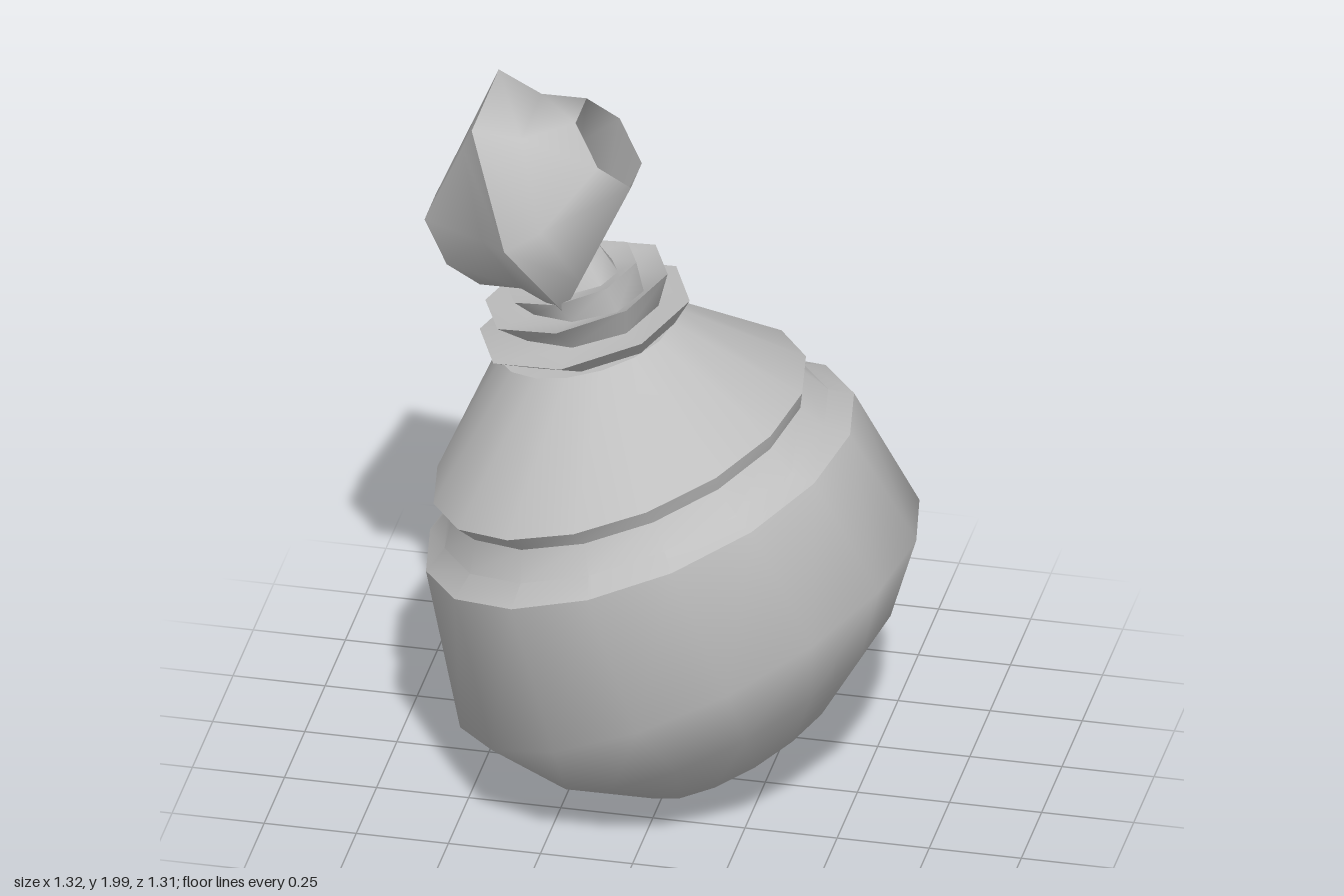
import * as THREE from 'three';
import { toCreasedNormals } from 'three/addons/utils/BufferGeometryUtils.js';

// Loft through tilted rings. Each ring is [x1, y1, x2, y2, depth]:
// its two end points in the plane z = 0 and its half depth along z.
function loft(rings, sides, crease, phase = 0, stretch = 1) {
  const positions = [];
  const index = [];
  for (const [x1, y1, x2, y2, depth] of rings) {
    for (let j = 0; j < sides; j++) {
      const t = phase + (j / sides) * Math.PI * 2;
      const c = (Math.cos(t) * stretch) / 2;
      positions.push(
        (x1 + x2) / 2 + (x2 - x1) * c,
        (y1 + y2) / 2 + (y2 - y1) * c,
        depth * Math.sin(t)
      );
    }
  }
  for (let i = 0; i < rings.length - 1; i++) {
    for (let j = 0; j < sides; j++) {
      const a = i * sides + j;
      const b = i * sides + ((j + 1) % sides);
      // Leave out the collapsed half of a quad at a pole
      if (rings[i][4] > 0) index.push(a, a + sides, b);
      if (rings[i + 1][4] > 0) index.push(b, a + sides, b + sides);
    }
  }
  const geometry = new THREE.BufferGeometry();
  geometry.setAttribute('position', new THREE.Float32BufferAttribute(positions, 3));
  geometry.setIndex(index);
  return toCreasedNormals(geometry, THREE.MathUtils.degToRad(crease));
}

export function createModel() {
  const group = new THREE.Group();
  const grey = new THREE.MeshStandardMaterial({ color: 0xbfbfbf, side: THREE.DoubleSide });
  grey.name = 'plain grey';

  const add = (name, geometry) => {
    const mesh = new THREE.Mesh(geometry, grey);
    mesh.name = name;
    group.add(mesh);
  };

  // Round belly, from the bottom pole up to the rim
  add('belly', loft([
    [0.20, 0.11, 0.20, 0.11, 0],
    [-0.08, 0.01, 0.45, 0.32, 0.32],
    [-0.35, 0.06, 0.59, 0.56, 0.51],
    [-0.57, 0.20, 0.66, 0.80, 0.655],
    [-0.66, 0.67, 0.48, 1.10, 0.645],
  ], 16, 70));

  // Ledge and groove between belly and lid
  add('groove', loft([
    [-0.66, 0.67, 0.48, 1.10, 0.645],
    [-0.61, 0.735, 0.41, 1.115, 0.585],
    [-0.59, 0.83, 0.345, 1.165, 0.545],
  ], 16, 30));

  // Conical lid with a thin overhanging edge, closed at the top
  add('lid', loft([
    [-0.59, 0.83, 0.345, 1.165, 0.545],
    [-0.64, 0.865, 0.35, 1.21, 0.57],
    [-0.47, 1.26, 0.0, 1.38, 0.24],
    [-0.25, 1.33, -0.25, 1.33, 0],
  ], 16, 35));

  // Stacked ruffles of the neck
  add('neckRuffles', loft([
    [-0.39, 1.265, 0.0, 1.375, 0.20],
    [-0.525, 1.30, 0.045, 1.455, 0.30],
    [-0.42, 1.35, -0.04, 1.43, 0.20],
    [-0.51, 1.39, -0.015, 1.53, 0.255],
    [-0.40, 1.42, -0.08, 1.47, 0.16],
    [-0.455, 1.45, -0.10, 1.555, 0.18],
    [-0.36, 1.47, -0.15, 1.52, 0.10],
    [-0.38, 1.51, -0.19, 1.58, 0.08],
    [-0.28, 1.56, -0.28, 1.56, 0],
  ], 8, 60));

  // Six-sided hollow knob, open at both ends
  add('knob', loft([
    [-0.66, 1.655, -0.51, 1.475, 0.135],
    [-0.545, 1.92, -0.385, 1.51, 0.25],
    [-0.51, 2.0, -0.26, 1.475, 0.335],
    [-0.385, 1.965, -0.225, 1.55, 0.25],
    [-0.25, 2.0, -0.10, 1.82, 0.135],
  ], 6, 65, Math.PI / 6, 1 / Math.cos(Math.PI / 6)));

  return group;
}
